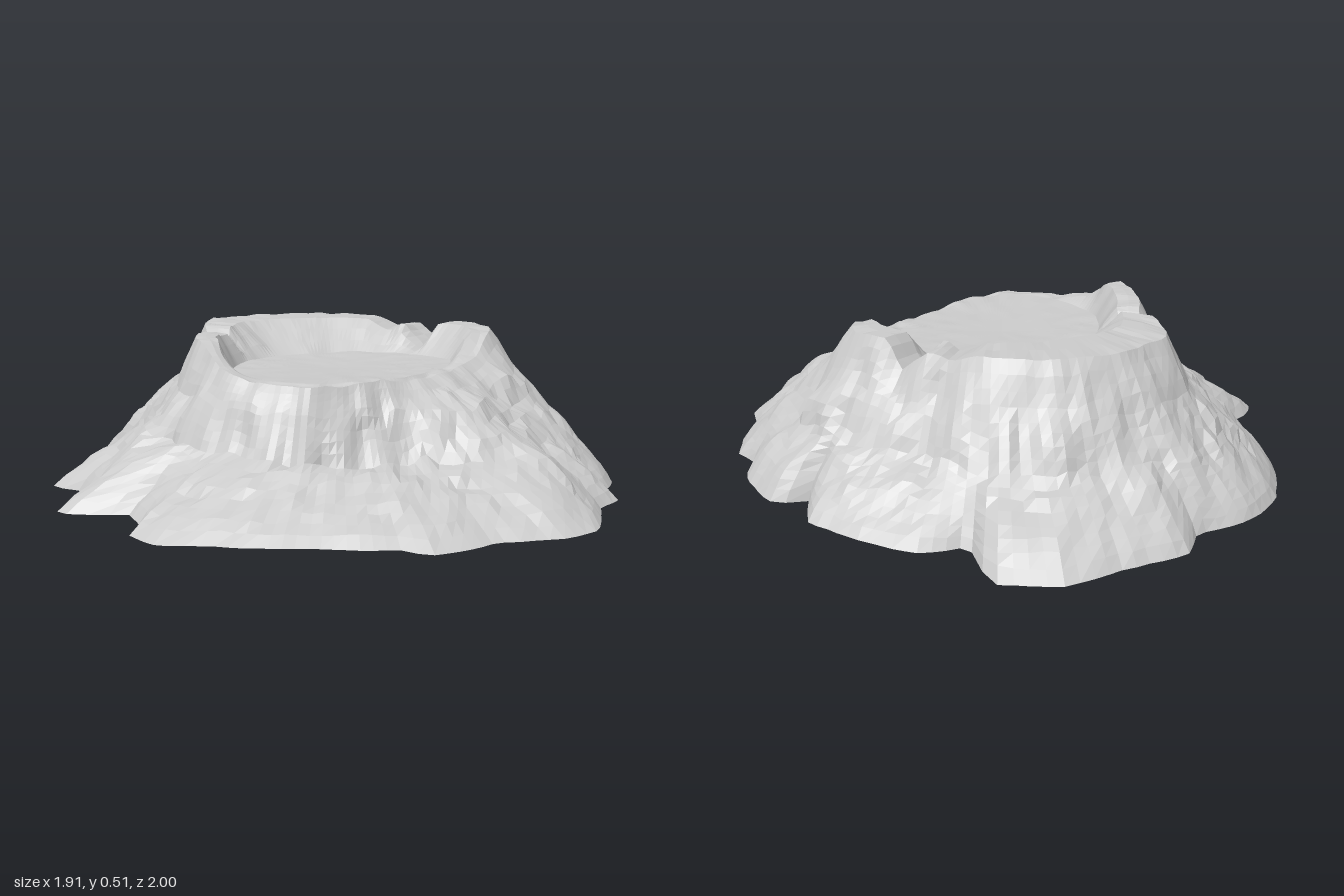
import * as THREE from 'three';

const SEGMENTS = 144;
const CENTRE_Z = 0.1;
const TAU = Math.PI * 2;
const { lerp, smoothstep, clamp } = THREE.MathUtils;

// Contours as seen from above, clockwise from the left side (+x).
// Foot of the slope: [x, z], on the ground.
const FOOT = [
  [0.9, 0.1], [0.955, 0.23], [0.89, 0.33], [0.89, 0.6], [0.8, 0.7], [0.6, 0.78], [0.53, 0.88],
  [0.42, 0.95], [0.34, 0.91], [0.2, 0.94], [0.05, 0.95], [-0.2, 0.98], [-0.36, 1], [-0.48, 0.92],
  [-0.47, 0.82], [-0.55, 0.7], [-0.78, 0.73], [-0.8, 0.65], [-0.76, 0.55], [-0.83, 0.43],
  [-0.94, 0.42], [-0.93, 0.33], [-0.82, 0.2], [-0.85, 0.02], [-0.94, -0.05], [-0.96, -0.2],
  [-0.93, -0.4], [-0.8, -0.58], [-0.65, -0.65], [-0.62, -0.78], [-0.4, -0.9], [-0.25, -1],
  [-0.03, -1], [0.05, -0.78], [0.2, -0.83], [0.4, -0.75], [0.57, -0.65], [0.6, -0.5],
  [0.72, -0.52], [0.85, -0.33], [0.85, -0.2], [0.92, -0.15], [0.93, 0.05],
];
// Bench halfway up: [x, z, y].
const BENCH = [
  [0.72, 0.1, 0.18], [0.69, 0.22, 0.18], [0.7, 0.4, 0.18], [0.57, 0.47, 0.17], [0.36, 0.49, 0.17],
  [0.22, 0.58, 0.17], [0, 0.65, 0.17], [-0.25, 0.61, 0.18], [-0.4, 0.52, 0.2], [-0.6, 0.42, 0.2],
  [-0.63, 0.2, 0.22], [-0.69, 0.05, 0.24], [-0.76, -0.15, 0.21], [-0.72, -0.4, 0.2],
  [-0.5, -0.58, 0.2], [-0.2, -0.67, 0.2], [0, -0.65, 0.19], [0.2, -0.56, 0.2],
  [0.42, -0.48, 0.2], [0.62, -0.35, 0.2], [0.75, -0.1, 0.2],
];
// Shoulder under the rim, widening to a terrace at the front left: [x, z, y].
const SHOULDER = [
  [0.54, 0.07, 0.31], [0.5, 0.2, 0.32], [0.48, 0.36, 0.3], [0.34, 0.4, 0.32], [0.21, 0.46, 0.32],
  [0.1, 0.55, 0.31], [0, 0.6, 0.31], [-0.22, 0.56, 0.3], [-0.37, 0.47, 0.33], [-0.5, 0.35, 0.33],
  [-0.54, 0.17, 0.35], [-0.58, 0.03, 0.35], [-0.65, -0.12, 0.33], [-0.64, -0.3, 0.33],
  [-0.47, -0.48, 0.34], [-0.2, -0.59, 0.34], [0.02, -0.57, 0.33], [0.18, -0.48, 0.34],
  [0.36, -0.41, 0.34], [0.53, -0.31, 0.35], [0.63, -0.12, 0.34], [0.6, -0.02, 0.33],
];
// Outer edge of the rim, broken down to floor level at the front: [x, z, y].
const RIM = [
  [0.39, 0.1, 0.4], [0.36, 0.19, 0.39], [0.27, 0.3, 0.39], [0.19, 0.4, 0.4], [0.11, 0.48, 0.4],
  [0, 0.56, 0.4], [-0.2, 0.51, 0.4], [-0.33, 0.43, 0.43], [-0.42, 0.36, 0.5], [-0.46, 0.27, 0.51],
  [-0.48, 0.15, 0.5], [-0.48, 0.07, 0.5], [-0.49, 0.03, 0.47], [-0.52, -0.03, 0.51],
  [-0.56, -0.25, 0.51], [-0.42, -0.4, 0.51], [-0.2, -0.49, 0.51], [0.03, -0.47, 0.51],
  [0.13, -0.42, 0.47], [0.2, -0.4, 0.5], [0.3, -0.36, 0.41], [0.35, -0.33, 0.51],
  [0.46, -0.26, 0.51], [0.49, -0.13, 0.5], [0.45, -0.02, 0.43],
];
// Edge of the crater floor: [x, z, y].
const FLOOR = [
  [0.35, 0.1, 0.4], [0.32, 0.18, 0.4], [0.15, 0.38, 0.4], [0, 0.51, 0.4], [-0.19, 0.45, 0.4],
  [-0.29, 0.35, 0.4], [-0.35, 0.15, 0.4], [-0.31, 0, 0.4], [-0.16, -0.13, 0.4],
  [0, -0.22, 0.4], [0.15, -0.22, 0.4], [0.36, -0.08, 0.4],
];

// Turns a contour into a function giving radius and height at any angle.
function polarContour(points) {
  const list = points
    .map(([x, z, y = 0]) => ({
      a: (Math.atan2(z - CENTRE_Z, x) + TAU) % TAU, r: Math.hypot(x, z - CENTRE_Z), y,
    }))
    .sort((p, q) => p.a - q.a);
  const first = list[0], last = list[list.length - 1];
  const ring = [{ ...last, a: last.a - TAU }, ...list, { ...first, a: first.a + TAU }];
  return (angle) => {
    const k = ring.findIndex((p) => p.a > angle);
    const p = ring[k - 1], q = ring[k];
    const t = (angle - p.a) / (q.a - p.a);
    return { r: lerp(p.r, q.r, t), y: lerp(p.y, q.y, t) };
  };
}

// Smooth seeded value noise in the range -1 to 1.
function hash(i, j) {
  const s = Math.sin(i * 127.1 + j * 311.7 + 4.2) * 43758.5453;
  return (s - Math.floor(s)) * 2 - 1;
}
function noise(x, z) {
  const i = Math.floor(x), j = Math.floor(z);
  const u = smoothstep(x - i, 0, 1), v = smoothstep(z - j, 0, 1);
  return lerp(lerp(hash(i, j), hash(i + 1, j), u), lerp(hash(i, j + 1), hash(i + 1, j + 1), u), v);
}

function createRockGeometry() {
  const [foot, bench, shoulder, rim, floor] = [FOOT, BENCH, SHOULDER, RIM, FLOOR].map(polarContour);
  const rimInner = (a) => {
    const o = rim(a), f = floor(a);
    return { r: lerp(f.r, o.r, 0.5), y: o.y };
  };
  const centre = () => ({ r: 0, y: 0.39 });

  // Bands from the ground up and into the crater: steps, height curve,
  // and roughness at the lower and upper end.
  const bands = [
    { from: foot, to: bench, steps: 8, curve: 0.82, rough: [0.006, 0.022] },
    { from: bench, to: shoulder, steps: 4, curve: 1, rough: [0.022, 0.018] },
    { from: shoulder, to: rim, steps: 4, curve: 1, rough: [0.018, 0.008] },
    { from: rim, to: rimInner, steps: 2, curve: 1, rough: [0.008, 0.01] },
    { from: rimInner, to: floor, steps: 3, curve: 1, rough: [0.01, 0.004] },
    { from: floor, to: centre, steps: 6, curve: 1, rough: [0.004, 0] },
  ];

  const positions = [], index = [];
  let rings = 0;
  const addRing = (band, t) => {
    const rough = lerp(band.rough[0], band.rough[1], t);
    for (let i = 0; i < SEGMENTS; i++) {
      const a = (i / SEGMENTS) * TAU;
      const p = band.from(a), q = band.to(a);
      let r = lerp(p.r, q.r, t);
      let y = lerp(p.y, q.y, Math.pow(t, band.curve));
      const x = Math.cos(a) * r, z = Math.sin(a) * r;
      // Lumps fade out at the ground so that the foot stays flat
      y += rough * Math.min(1, y * 20) * (0.6 * noise(x * 11, z * 11) + 0.8 * noise(x * 20 + 7, z * 20));
      r += rough * (0.6 * noise(x * 10 + 3, z * 10) + 0.8 * noise(x * 18 + 31, z * 18 + 5));
      positions.push(Math.cos(a) * r, clamp(y, 0, 0.51), CENTRE_Z + Math.sin(a) * r);
    }
    rings++;
  };
  addRing(bands[0], 0);
  for (const band of bands) {
    for (let s = 1; s <= band.steps; s++) addRing(band, s / band.steps);
  }

  for (let j = 0; j < rings - 1; j++) {
    for (let i = 0; i < SEGMENTS; i++) {
      const n = (i + 1) % SEGMENTS;
      const a = j * SEGMENTS + i, b = j * SEGMENTS + n;
      const c = a + SEGMENTS, d = b + SEGMENTS;
      index.push(a, c, b);
      if (j < rings - 2) index.push(b, c, d);
    }
  }
  const geometry = new THREE.BufferGeometry();
  geometry.setAttribute('position', new THREE.Float32BufferAttribute(positions, 3));
  geometry.setIndex(index);
  geometry.computeVertexNormals();
  return geometry;
}

export function createModel() {
  const group = new THREE.Group();
  group.name = 'craterRock';
  // Open-bottomed shell of the mound with its crater
  const material = new THREE.MeshStandardMaterial({
    color: 0xcccccc, flatShading: true, side: THREE.DoubleSide,
  });
  const mound = new THREE.Mesh(createRockGeometry(), material);
  mound.name = 'craterMound';
  group.add(mound);
  return group;
}
